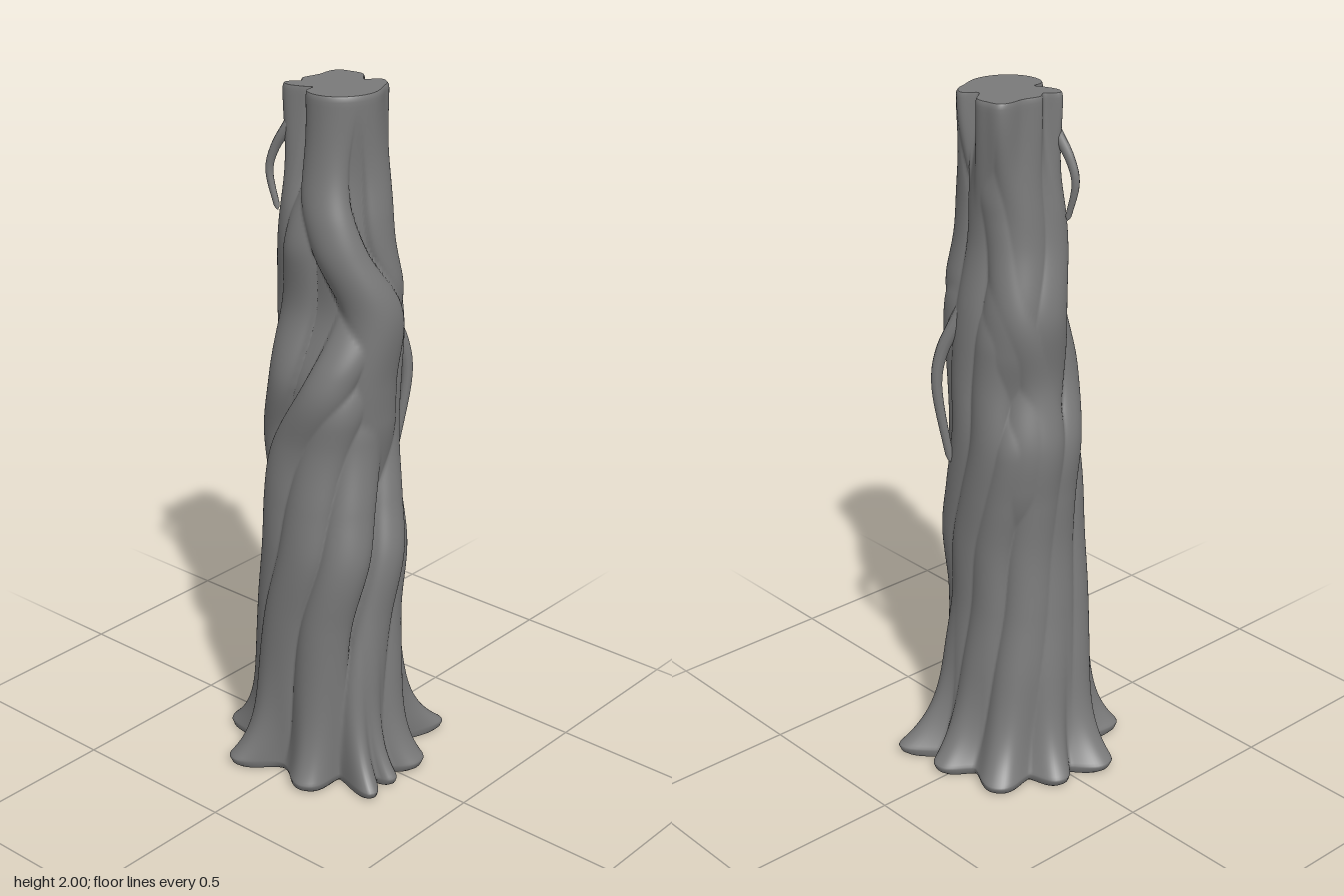
import * as THREE from 'three';

const SIDES = 240, ROWS = 170, TOP_X = 0.02;
const rad = Math.PI / 180;
const material = new THREE.MeshStandardMaterial({ color: 0x7a7a7a });
const angleBetween = (a, b) => Math.atan2(Math.sin(a - b), Math.cos(a - b));

// smooth lookup in rows of [y, a, b, ...], y rising
function table(rows) {
  const size = rows[0].length - 1;
  const spline = new THREE.CubicInterpolant(rows.map(r => r[0]), rows.flatMap(r => r.slice(1)), size, new Float32Array(size));
  const lo = rows[0][0], hi = rows[rows.length - 1][0];
  return y => spline.evaluate(Math.min(hi, Math.max(lo, y)));
}

// trunk envelope: y, xMin, xMax, zMin, zMax
const envelope = table([
  [0, -0.18, 0.22, -0.16, 0.215], [0.3, -0.185, 0.225, -0.16, 0.225], [0.5, -0.168, 0.225, -0.147, 0.228],
  [0.7, -0.152, 0.242, -0.15, 0.222], [0.85, -0.158, 0.218, -0.152, 0.207], [1.02, -0.17, 0.197, -0.152, 0.187],
  [1.2, -0.138, 0.205, -0.147, 0.19], [1.4, -0.156, 0.224, -0.142, 0.135], [1.6, -0.126, 0.188, -0.118, 0.152],
  [1.8, -0.108, 0.162, -0.13, 0.13], [2, -0.1, 0.147, -0.14, 0.115],
]);

// roots: angle, reach, half width in degrees
const roots = [
  [-85, 0.285, 14], [-57, 0.347, 11], [-12, 0.3, 17], [13, 0.305, 9], [29, 0.345, 9], [64, 0.296, 15],
  [116, 0.32, 14], [161, 0.318, 16], [193, 0.283, 13], [232, 0.298, 15], [252, 0.205, 9],
];

function rootRadius(angle) {
  const valley = 0.213;
  return Math.max(...roots.map(([at, reach, width]) =>
    valley + (reach - valley) * Math.exp(-Math.pow(Math.abs(angleBetween(angle, at * rad)) / (width * rad), 2.5))));
}

// cut top: radius by angle through a few [x, z] points
const topPolar = [
  [-0.09, -0.13], [-0.05, -0.143], [-0.005, -0.14], [0.018, -0.113], [0.04, -0.1], [0.062, -0.128], [0.095, -0.12],
  [0.125, -0.07], [0.15, 0.005], [0.115, 0.09], [0.06, 0.117], [-0.005, 0.095],
  [-0.014, 0.06], [-0.04, 0.072], [-0.09, 0.082], [-0.11, 0.06], [-0.086, 0.03], [-0.104, 0], [-0.095, -0.06],
].map(([x, z]) => [Math.atan2(z, x - TOP_X), Math.hypot(x - TOP_X, z)]).sort((p, q) => p[0] - q[0]);
const turned = ([a, r], turn) => [a + turn * 2 * Math.PI, r];
const topRadius = table([turned(topPolar[topPolar.length - 1], -1), ...topPolar, turned(topPolar[0], 1)]);

// strands winding with the twist: half width in degrees, path of [y, angle]
const winding = [
  [32, [[0, 160], [0.4, 152], [0.7, 137], [0.95, 110], [1.2, 60], [1.45, 15]]],
  [30, [[0, 117], [0.45, 107], [0.7, 90], [0.95, 66], [1.3, 12]]],
  [28, [[0, 63], [0.45, 56], [0.75, 36], [1.25, -5]]],
  [24, [[0, 22], [0.3, 14], [0.6, -10], [0.9, -30], [1.6, -62]]],
  [27, [[0, -12], [0.3, -22], [0.7, -48], [1.2, -75], [2, -108]]],
  [27, [[0, -56], [0.3, -60], [0.6, -80], [1.5, -130]]],
  [24, [[0, -85], [0.4, -100], [1.2, -145]]],
  [29, [[0, 193], [0.6, 182], [0.9, 168], [1.2, 135], [1.75, 100]]],
  [36, [[0.7, 218], [1, 208], [1.3, 180], [2, 140]]],
  [38, [[1.1, 232], [1.4, 218], [2, 200]]],
  [40, [[1.3, -62], [1.6, -35], [2, -15]]],
];

// two strands that cross over against the twist
const crossing = [
  [38, [[0.9, -6], [1.2, -3], [1.42, 12], [1.58, 46], [1.75, 72], [2, 62]]],
  [27, [[0, -128], [0.3, -138], [0.9, -165], [1.15, -168], [1.45, -142], [1.72, -115], [1.9, -100]]],
];

const makeStrand = height => ([width, path]) => ({
  width: width * rad, height, angle: table(path), low: path[0][0], high: path[path.length - 1][0],
});
const strands = [...winding.map(makeStrand(0.99)), ...crossing.map(makeStrand(1.06))];

function strandRelief(angle, y) {
  let best = 0;
  for (const s of strands) {
    let fade = s.high < 2 ? 1 - THREE.MathUtils.smoothstep(y, s.high - 0.2, s.high + 0.08) : 1;
    if (s.low > 0) fade *= THREE.MathUtils.smoothstep(y, s.low - 0.1, s.low + 0.2);
    const d = angleBetween(angle, s.angle(y)[0] * rad) / s.width;
    if (Math.abs(d) < 1) best = Math.max(best, Math.sqrt(1 - d * d) * s.height * fade);
  }
  return best;
}

// trunk surface point, blending root flare, twisted strands and cut top
function trunkPoint(angle, y, inset) {
  const [x0, x1, z0, z1] = envelope(y);
  const c = Math.cos(angle), s = Math.sin(angle);
  const a = (x1 - x0) / 2, b = (z1 - z0) / 2;
  const r = 1.03 / Math.pow(Math.abs(c / a) ** 2.3 + Math.abs(s / b) ** 2.3, 1 / 2.3) * (0.72 + 0.28 * strandRelief(angle, y));
  const p = new THREE.Vector3((x0 + x1) / 2 + c * r, y, (z0 + z1) / 2 + s * r);
  const root = rootRadius(angle), top = topRadius(angleBetween(angle, 0))[0];
  p.lerp(new THREE.Vector3(c * root, y, s * root), Math.exp(-Math.max(0, y - 0.025) / 0.11));
  p.lerp(new THREE.Vector3(TOP_X + c * top, y, s * top), THREE.MathUtils.smoothstep(y, 1.66, 1.98));
  p.x *= inset;
  p.z *= inset;
  return p;
}

// closed loft through rings of [y, inset]
function loft(name, rings) {
  const positions = [], index = [];
  rings.forEach(([y, inset], j) => {
    for (let i = 0; i < SIDES; i++) {
      positions.push(...trunkPoint(i / SIDES * 2 * Math.PI, y, inset).toArray());
      if (j === rings.length - 1) continue;
      const a = j * SIDES + i, b = j * SIDES + (i + 1) % SIDES;
      index.push(a, a + SIDES, b, b, a + SIDES, b + SIDES);
    }
  });
  const geometry = new THREE.BufferGeometry();
  geometry.setAttribute('position', new THREE.Float32BufferAttribute(positions, 3));
  geometry.setIndex(index);
  geometry.computeVertexNormals();
  const mesh = new THREE.Mesh(geometry, material);
  mesh.name = name;
  return mesh;
}

// hanging tendril: a tube tapered towards its tip
function tendril(name, points, thick, thin) {
  const curve = new THREE.CatmullRomCurve3(points.map(p => new THREE.Vector3(...p)));
  const steps = 40, sides = 10;
  const geometry = new THREE.TubeGeometry(curve, steps, 1, sides);
  const pos = geometry.attributes.position, v = new THREE.Vector3();
  for (let i = 0; i < pos.count; i++) {
    const t = Math.floor(i / (sides + 1)) / steps, centre = curve.getPointAt(t);
    const radius = THREE.MathUtils.lerp(thick, thin, Math.sqrt(t)) * Math.sqrt(Math.min(1, (1 - t) * 20));
    v.fromBufferAttribute(pos, i).sub(centre).multiplyScalar(radius).add(centre);
    pos.setXYZ(i, v.x, v.y, v.z);
  }
  const mesh = new THREE.Mesh(geometry, material);
  mesh.name = name;
  return mesh;
}

export function createModel() {
  const group = new THREE.Group();
  group.name = 'twistedTrunk';

  // trunk with rounded root edge and rounded cut edge
  const rings = [[0, 0.94], [0.008, 0.98], [0.022, 1]];
  for (let j = 1; j <= ROWS; j++) rings.push([0.022 + 1.963 * Math.pow(j / ROWS, 1.15), 1]);
  rings.push([1.995, 0.99], [2, 0.965]);
  group.add(loft('trunk', rings));
  group.add(loft('underside', [[0, 0], [0, 0.94]]));
  group.add(loft('cutTop', [[2, 0.965], [2, 0]]));

  // tendrils at the upper front and at the back
  group.add(tendril('frontTendril', [[-0.06, 1.95, 0.04], [-0.09, 1.89, 0.066], [-0.13, 1.82, 0.08], [-0.145, 1.76, 0.085], [-0.12, 1.65, 0.08]], 0.024, 0.008));
  group.add(tendril('backTendril', [[0.06, 1.46, -0.09], [0.09, 1.36, -0.13], [0.12, 1.27, -0.16], [0.13, 1.18, -0.172], [0.11, 0.93, -0.142]], 0.03, 0.011));
  return group;
}
